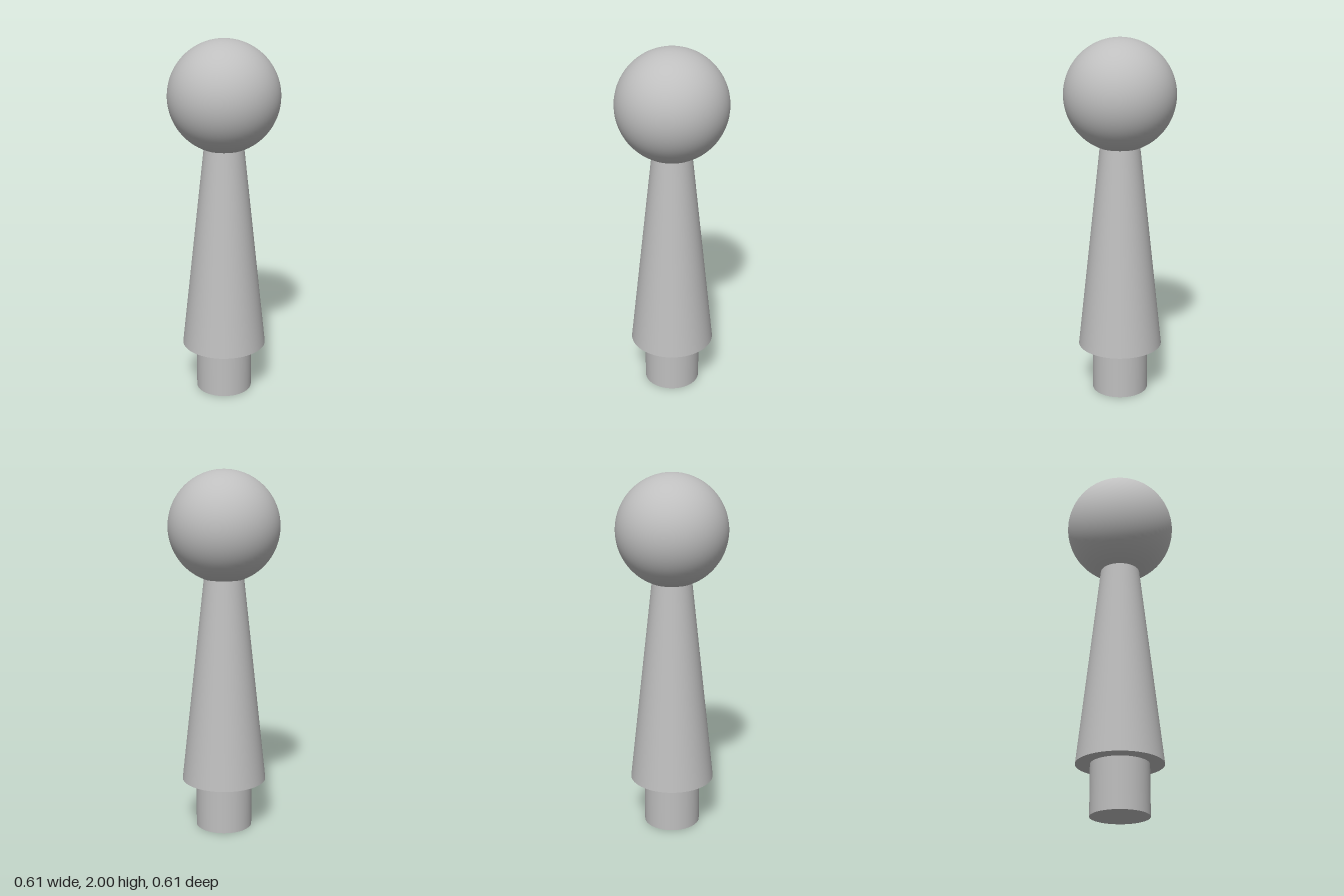
import * as THREE from 'three';

const SEGMENTS = 64;
const PEG_R = 0.157, STEM_R = 0.235, NECK_R = 0.11, BALL_R = 0.303;
const SHOULDER_Y = 0.275, BALL_Y = 2 - BALL_R;

export function createModel() {
  const group = new THREE.Group();
  const grey = new THREE.MeshStandardMaterial({ color: 0xbfbfbf });
  grey.name = 'plain grey';

  const add = (name, geometry, y) => {
    const mesh = new THREE.Mesh(geometry, grey);
    mesh.name = name;
    mesh.position.y = y;
    group.add(mesh);
    return mesh;
  };

  // Ball, cut off where it meets the neck
  const cut = Math.PI - Math.asin(NECK_R / BALL_R);
  const neckY = BALL_Y + BALL_R * Math.cos(cut);
  add('ball', new THREE.SphereGeometry(BALL_R, SEGMENTS, 40, 0, Math.PI * 2, 0, cut), BALL_Y);

  // Tapered stem, from the neck down to the shoulder
  const stemHeight = neckY - SHOULDER_Y;
  add('stem', new THREE.CylinderGeometry(NECK_R, STEM_R, stemHeight, SEGMENTS, 1, true), SHOULDER_Y + stemHeight / 2);

  // Flat ring under the stem, facing down
  add('shoulder', new THREE.RingGeometry(PEG_R, STEM_R, SEGMENTS).rotateX(Math.PI / 2), SHOULDER_Y);

  // Mounting peg with a closed underside
  add('peg', new THREE.CylinderGeometry(PEG_R, PEG_R, SHOULDER_Y, SEGMENTS, 1, true), SHOULDER_Y / 2);
  add('pegEnd', new THREE.CircleGeometry(PEG_R, SEGMENTS).rotateX(Math.PI / 2), 0);

  return group;
}
